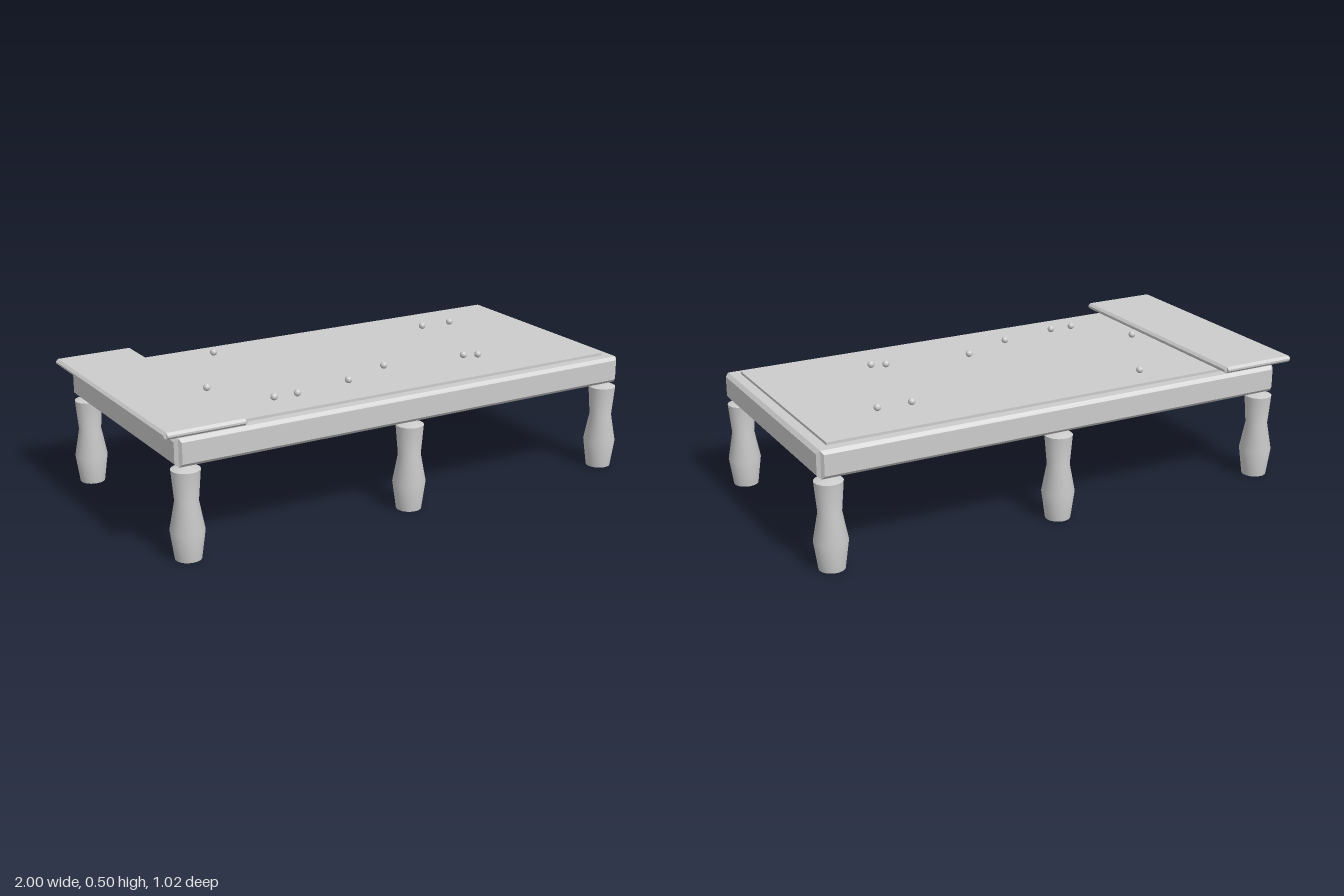
import * as THREE from 'three';
import { toCreasedNormals } from 'three/addons/utils/BufferGeometryUtils.js';

const grey = new THREE.MeshStandardMaterial({ color: 0xcccccc });

function add(parent, name, geometry, x = 0, y = 0, z = 0) {
  const mesh = new THREE.Mesh(geometry, grey);
  mesh.name = name;
  mesh.position.set(x, y, z);
  parent.add(mesh);
  return mesh;
}

// Raised panel: a thin box whose outer (+z) face is inset, back at z = 0
function panelGeometry(width, height, depth, insetX, insetY) {
  const g = new THREE.BoxGeometry(width, height, depth).translate(0, 0, depth / 2);
  const p = g.attributes.position;
  for (let i = 0; i < p.count; i++) {
    if (p.getZ(i) < depth / 2) continue;
    p.setX(i, p.getX(i) - Math.sign(p.getX(i)) * insetX);
    p.setY(i, p.getY(i) - Math.sign(p.getY(i)) * insetY);
  }
  g.computeVertexNormals();
  return g;
}

// Box with a raised panel on each of its four sides
function panelledBox(name, w, h, d, raise, insetX, insetY) {
  const group = new THREE.Group();
  group.name = name;
  add(group, name + 'Core', new THREE.BoxGeometry(w, h, d));
  for (let i = 0; i < 4; i++) {
    const [len, off] = i % 2 ? [d, w / 2] : [w, d / 2];
    const a = i * Math.PI / 2;
    const panel = add(group, name + 'SidePanel', panelGeometry(len, h, raise, insetX, insetY),
      Math.sin(a) * off, 0, Math.cos(a) * off);
    panel.rotation.y = a;
  }
  return group;
}

export function createModel() {
  const model = new THREE.Group();
  model.name = 'ballTable';

  // Table body and the thin playing surface on it
  const body = panelledBox('body', 1.905, 0.105, 0.938, 0.013, 0.008, 0.013);
  body.position.set(0.018, 0.4045, 0);
  model.add(body);
  add(model, 'playingSurface', new THREE.BoxGeometry(1.828, 0.014, 0.862), 0.018, 0.46, 0);

  // Board lying across the left end, with a pointed rim
  const board = panelledBox('endBoard', 0.296, 0.025, 1.0, 0.01, 0, 0.009);
  board.position.set(-0.842, 0.4845, 0);
  model.add(board);

  // Six turned legs
  const profile = [[0, 0], [0.048, 0], [0.063, 0.108], [0.043, 0.216], [0.053, 0.333], [0, 0.352]]
    .map(([r, y]) => new THREE.Vector2(r, y));
  const legGeometry = toCreasedNormals(new THREE.LatheGeometry(profile, 24), 0.6);
  for (const x of [-0.898, 0.018, 0.934])
    for (const z of [-0.441, 0.441]) add(model, 'leg', legGeometry, x, 0, z);

  // Balls scattered over the surface
  const ballGeometry = new THREE.SphereGeometry(0.0138, 16, 12);
  const balls = [
    [-0.41, -0.325], [0.515, -0.231], [0.65, -0.228], [-0.633, 0.073], [0.074, 0.168],
    [0.418, 0.208], [0.472, 0.23], [-0.137, 0.258], [-0.473, 0.296], [-0.378, 0.299],
  ];
  for (const [x, z] of balls) add(model, 'ball', ballGeometry, x, 0.481, z);

  return model;
}
